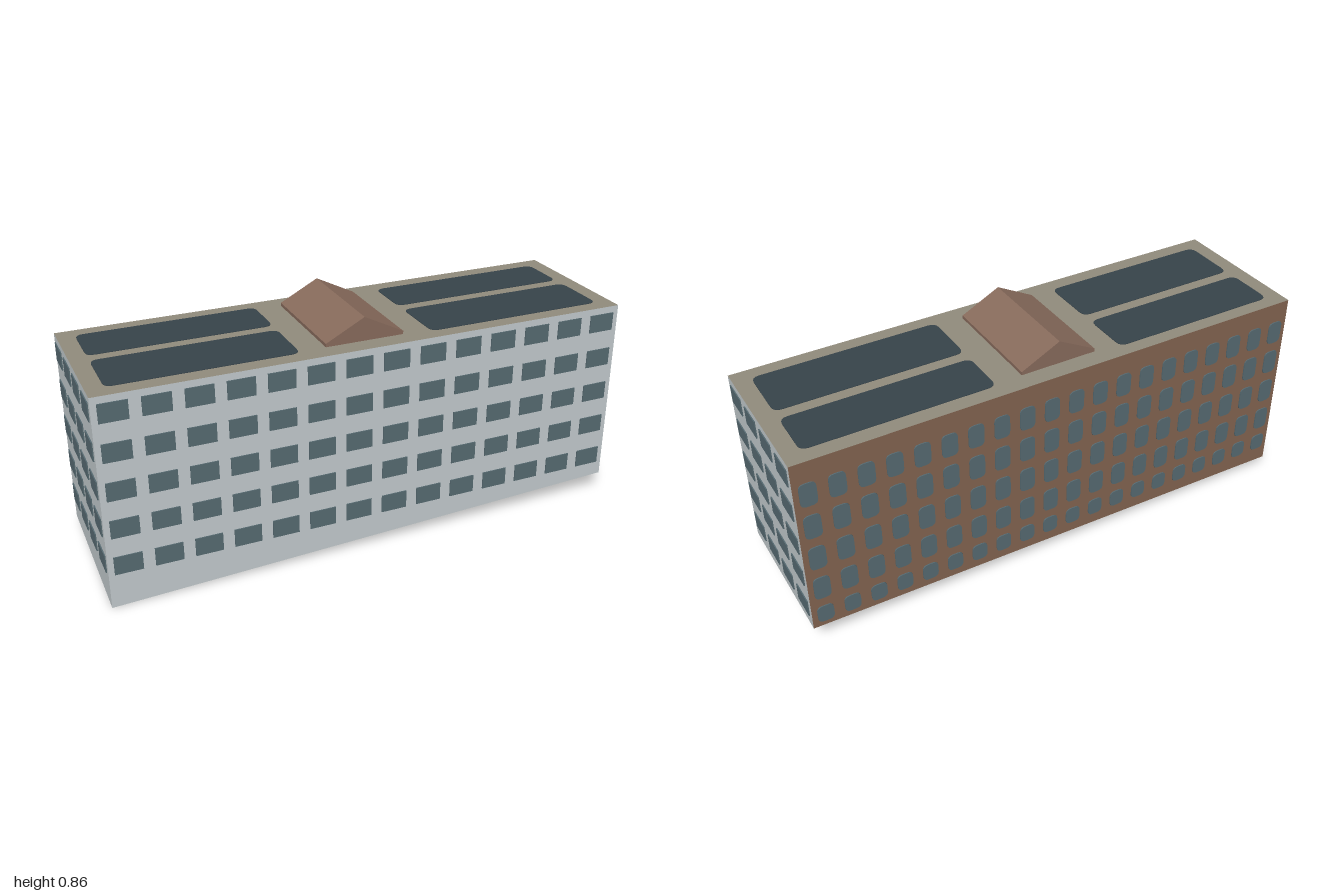
import * as THREE from 'three';
import { mergeGeometries } from 'three/addons/utils/BufferGeometryUtils.js';

const LENGTH = 1.938, DEPTH = 0.56, ROOF_Y = 0.775, TURN = 0.15, PROUD = 0.004;

function material(name, color) {
  const m = new THREE.MeshStandardMaterial({ color });
  m.name = name;
  return m;
}

// Rectangle with rounded corners, centred on the origin
function roundedRect(w, h, r) {
  const s = new THREE.Shape();
  const x = w / 2, y = h / 2;
  s.moveTo(-x + r, -y);
  s.lineTo(x - r, -y);
  s.quadraticCurveTo(x, -y, x, -y + r);
  s.lineTo(x, y - r);
  s.quadraticCurveTo(x, y, x - r, y);
  s.lineTo(-x + r, y);
  s.quadraticCurveTo(-x, y, -x, y - r);
  s.lineTo(-x, -y + r);
  s.quadraticCurveTo(-x, -y, -x + r, -y);
  return s;
}

function plate(w, h, r) {
  return new THREE.ExtrudeGeometry(roundedRect(w, h, r), { depth: PROUD, bevelEnabled: false, curveSegments: 4 });
}

// Grid of window plates lying on the plane z = 0, facing +z
function windowGrid(wallWidth, columns, rows, make) {
  const pitch = wallWidth / columns;
  const parts = [];
  for (const [y, h] of rows) {
    for (let i = 0; i < columns; i++) {
      parts.push(make(h).translate((i + 0.5) * pitch - wallWidth / 2, y, 0));
    }
  }
  return mergeGeometries(parts);
}

export function createModel() {
  const model = new THREE.Group();
  model.name = 'officeBlock';
  const building = new THREE.Group();
  building.name = 'building';
  building.rotation.y = -TURN;
  model.add(building);

  const wall = material('paleWall', 0xc2cacd);
  const brick = material('brownBrick', 0x836450);
  const glass = material('windowGlass', 0x566a71);
  const roof = material('roofStone', 0x918b7c);
  const panel = material('darkRoofPanel', 0x36434a);
  const hutTile = material('hutTile', 0x886b5c);

  function add(name, geometry, mat) {
    const mesh = new THREE.Mesh(geometry, mat);
    mesh.name = name;
    building.add(mesh);
    return mesh;
  }

  // Main block, its foot following the sloping ground
  let block = new THREE.BoxGeometry(LENGTH, ROOF_Y, DEPTH).translate(0, ROOF_Y / 2, 0);
  const pos = block.attributes.position;
  for (let i = 0; i < pos.count; i++) {
    if (pos.getY(i) > 0.1) continue;
    const right = pos.getX(i) > 0, front = pos.getZ(i) > 0;
    pos.setY(i, front ? (right ? 0.073 : 0) : (right ? 0.085 : 0.042));
  }
  // Fold the underside along the front-right to back-left diagonal
  [12, 14, 15, 12, 15, 13].forEach((v, i) => block.index.setX(18 + i, v));
  block = block.toNonIndexed();
  block.computeVertexNormals();
  add('mainBlock', block, [wall, wall, roof, wall, wall, brick]);

  // Square windows on the front and both ends
  const rows = [0, 1, 2, 3, 4].map((i) => [0.161 + i * 0.139, 0.067]);
  const square = (h) => new THREE.BoxGeometry(0.097, h, PROUD).translate(0, 0, PROUD / 2);
  add('frontWindows', windowGrid(LENGTH, 14, rows, square), glass).position.z = DEPTH / 2;
  for (const side of [-1, 1]) {
    const end = add(side > 0 ? 'leftEndWindows' : 'rightEndWindows', windowGrid(DEPTH, 4, rows, square), glass);
    end.rotation.y = side * Math.PI / 2;
    end.position.x = side * LENGTH / 2;
  }

  // Rounded windows on the brick back, the lowest row shorter
  const backRows = [[0.138, 0.068], [0.255, 0.092], [0.388, 0.094], [0.521, 0.094], [0.651, 0.09]];
  const back = add('backWindows', windowGrid(LENGTH, 20, backRows, (h) => plate(0.058, h, 0.02)), glass);
  back.rotation.y = Math.PI;
  back.position.z = -DEPTH / 2;

  // Dark roof panels: x range, z range
  const panels = [
    [-0.908, -0.258, -0.228, -0.04], [-0.908, -0.258, 0.005, 0.222],
    [0.228, 0.908, -0.222, -0.038], [0.228, 0.908, 0.008, 0.226],
  ];
  for (const [x0, x1, z0, z1] of panels) {
    const mesh = add('roofPanel', plate(x1 - x0, z1 - z0, 0.03), panel);
    mesh.rotation.x = -Math.PI / 2;
    mesh.position.set((x0 + x1) / 2, ROOF_Y - 0.002, (z0 + z1) / 2);
  }

  // Gabled rooftop hut
  const gable = new THREE.Shape([
    [-0.162, 0], [0.126, 0], [0.126, 0.012], [-0.02, 0.086], [-0.162, 0.012],
  ].map(([x, y]) => new THREE.Vector2(x, y)));
  const hut = new THREE.ExtrudeGeometry(gable, { depth: 0.42, bevelEnabled: false });
  add('roofHut', hut, hutTile).position.set(0, ROOF_Y, -0.21);

  return model;
}
